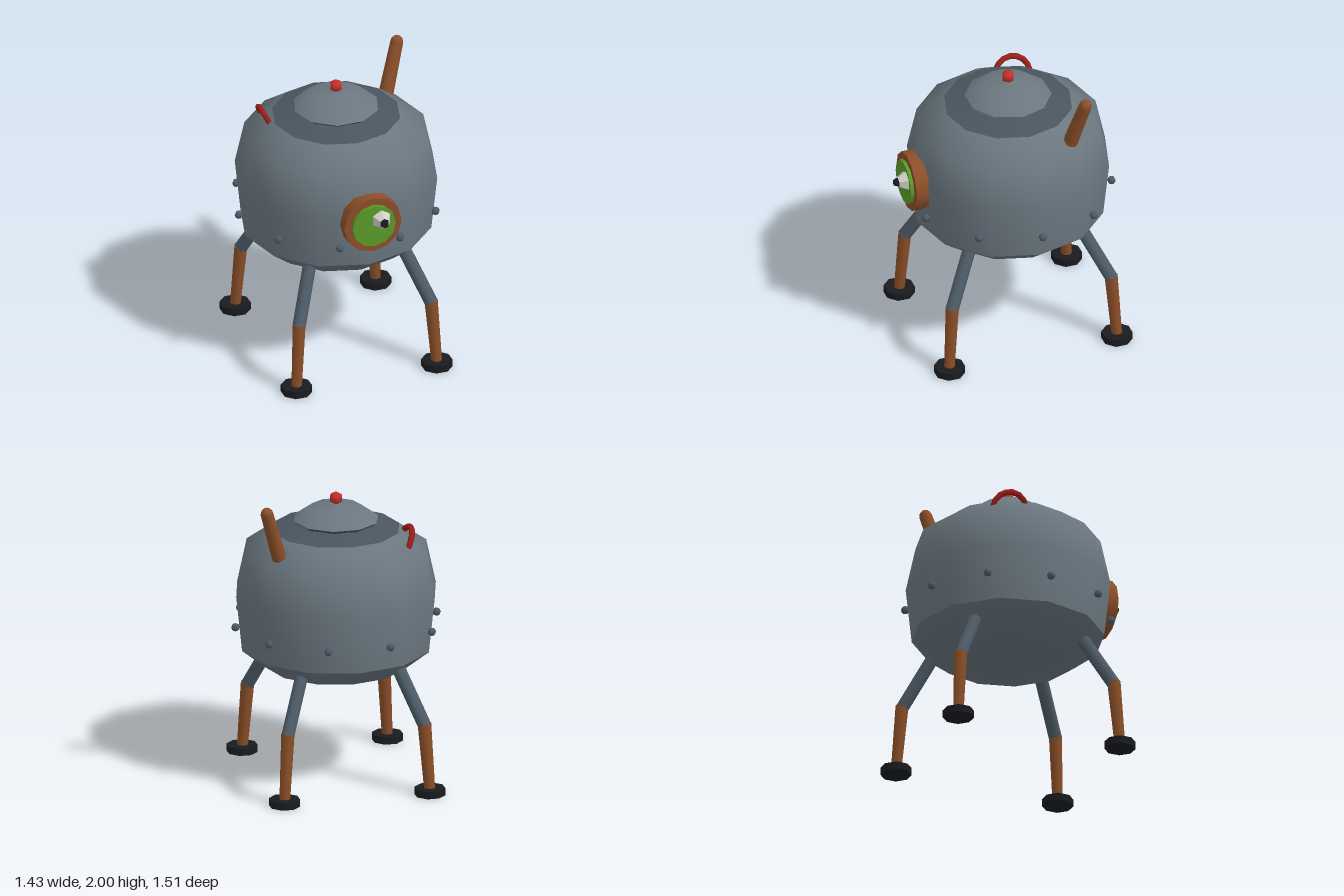
import * as THREE from 'three';

const mat = (color, flatShading = false) =>
  new THREE.MeshStandardMaterial({ color, flatShading, side: THREE.DoubleSide });
const steel = mat(0x6b7780), darkSteel = mat(0x4a555e), blueSteel = mat(0x4e5c68);
const copper = mat(0x8b4f28), green = mat(0x5a9a28), black = mat(0x1a1b1f);
const red = mat(0xc8322a), darkRed = mat(0x9c1f1a), white = mat(0xd0d0c8, true);

const CZ = -0.065; // depth of the body axis

function add(parent, name, geometry, material, x = 0, y = 0, z = 0) {
  const mesh = new THREE.Mesh(geometry, material);
  mesh.name = name;
  mesh.position.set(x, y, z);
  parent.add(mesh);
  return mesh;
}

// Surface of revolution from [radius, height] pairs, bottom to top
const lathe = (points, sides) =>
  new THREE.LatheGeometry(points.map(([r, y]) => new THREE.Vector2(r, y)), sides);

// Tapered rod between two points
function rod(parent, name, a, b, ra, rb, material, sides = 8) {
  const from = new THREE.Vector3(...a), to = new THREE.Vector3(...b);
  const dir = to.clone().sub(from);
  const mesh = add(parent, name, new THREE.CylinderGeometry(rb, ra, dir.length(), sides), material);
  mesh.position.copy(from).add(to).multiplyScalar(0.5);
  mesh.quaternion.setFromUnitVectors(new THREE.Vector3(0, 1, 0), dir.normalize());
  return mesh;
}

// Disc or cone facing +z
const facing = (rFront, rBack, depth, sides) =>
  new THREE.CylinderGeometry(rFront, rBack, depth, sides).rotateX(Math.PI / 2);

export function createModel() {
  const model = new THREE.Group();
  model.name = 'walkingPod';

  // Pot-shaped body
  const body = new THREE.Group();
  body.name = 'body';
  body.position.z = CZ;
  model.add(body);
  add(body, 'hull', lathe([[0.64, 0.9], [0.68, 1.28], [0.615, 1.58], [0.43, 1.71]], 12), steel);
  add(body, 'underside', lathe([[0, 0.77], [0.475, 0.77], [0.64, 0.9]], 12), steel);
  add(body, 'collar', lathe([[0.43, 1.71], [0.25, 1.755]], 12), darkSteel);

  // Lid with knob; turned so that corners lie on the x axis
  const lidTurn = Math.PI / 2;
  add(body, 'lidRim', lathe([[0.25, 1.745], [0.288, 1.775]], 10), darkSteel).rotation.y = lidTurn;
  add(body, 'lid', lathe([[0.288, 1.775], [0.17, 1.86], [0, 1.875]], 10), steel).rotation.y = lidTurn;
  add(body, 'knob', new THREE.SphereGeometry(0.046, 8, 3), red, 0, 1.918, 0);

  // Ring of rivets
  for (let i = 0; i < 10; i++) {
    const a = (i / 10) * Math.PI * 2;
    add(body, 'rivet', new THREE.SphereGeometry(0.029, 6, 4), blueSteel,
      Math.cos(a) * 0.685, 1.07, Math.sin(a) * 0.685);
  }

  // Porthole with eye
  add(model, 'portholeRim', facing(0.202, 0.202, 0.15, 12), copper, 0, 1.24, 0.572);
  add(model, 'portholeGlass', facing(0.152, 0.152, 0.1, 12), green, 0, 1.24, 0.62);
  add(model, 'eye', facing(0.035, 0.072, 0.062, 6), white, 0.05, 1.283, 0.696);
  add(model, 'pupil', facing(0.02, 0.037, 0.036, 6), black, 0.05, 1.283, 0.738);

  // Chimney pipe with a rounded end
  const tip = [0.556, 1.962, -0.41];
  rod(model, 'pipe', [0.45, 1.61, -0.338], tip, 0.05, 0.043, copper, 10);
  add(model, 'pipeEnd', new THREE.SphereGeometry(0.042, 10, 6), copper, ...tip);

  // Arched handle, leaning outward
  const handle = add(model, 'handle',
    new THREE.TorusGeometry(0.122, 0.02, 6, 8, Math.PI), darkRed, -0.415, 1.625, -0.245);
  handle.rotation.order = 'ZYX';
  handle.rotation.set(0, Math.PI / 2, 0.43);

  // Four jointed legs
  for (const sx of [-1, 1]) for (const sz of [-1, 1]) {
    const leg = new THREE.Group();
    leg.name = (sz > 0 ? 'front' : 'back') + (sx > 0 ? 'Left' : 'Right') + 'Leg';
    leg.position.z = CZ;
    model.add(leg);
    const at = (x, y, z) => [sx * x, y, sz * z];
    rod(leg, 'upperLeg', at(0.325, 0.84, 0.385), at(0.468, 0.47, 0.562), 0.045, 0.045, blueSteel);
    rod(leg, 'lowerLeg', at(0.465, 0.49, 0.558), at(0.494, 0.03, 0.588), 0.046, 0.037, copper);
    const foot = add(leg, 'foot', new THREE.CylinderGeometry(0.104, 0.104, 0.05, 8), black,
      ...at(0.495, 0.025, 0.588));
    foot.rotation.y = Math.PI / 8;
  }
  return model;
}
